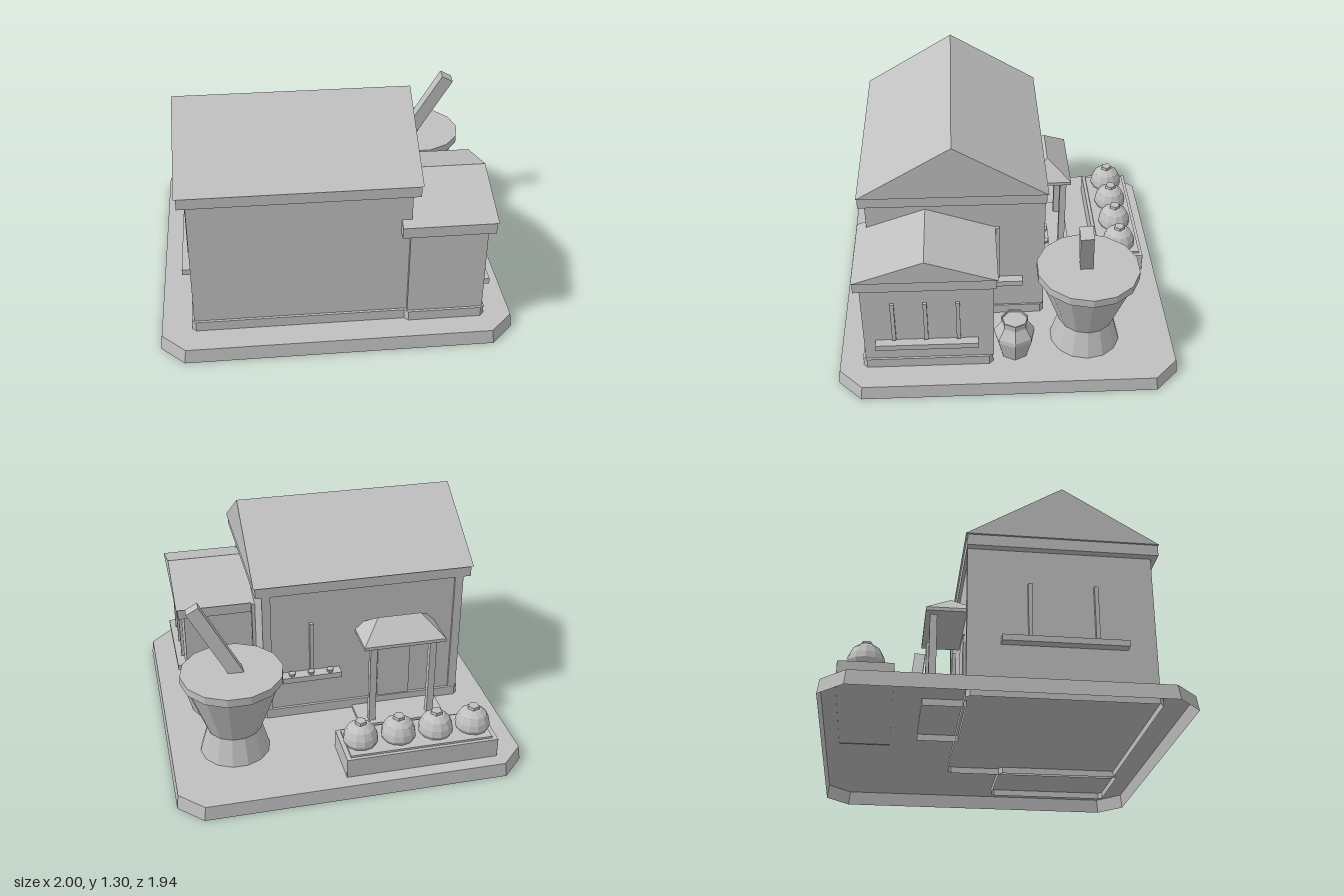
import * as THREE from 'three';

const stone = new THREE.MeshStandardMaterial({ color: 0xc0c0c0, side: THREE.DoubleSide });
stone.name = 'stone grey';

export function createModel() {
  const model = new THREE.Group();
  model.name = 'courtyardHouse';

  // Adds a faceted mesh
  const add = (name, geometry, parent = model) => {
    const flat = geometry.index ? geometry.toNonIndexed() : geometry;
    flat.computeVertexNormals();
    const mesh = new THREE.Mesh(flat, stone);
    mesh.name = name;
    parent.add(mesh);
    return mesh;
  };
  // Box given by its limits on each axis
  const box = (name, x0, x1, y0, y1, z0, z1, parent) => {
    const g = new THREE.BoxGeometry(x1 - x0, y1 - y0, z1 - z0);
    g.translate((x0 + x1) / 2, (y0 + y1) / 2, (z0 + z1) / 2);
    return add(name, g, parent);
  };
  // Slab with cut corners and an open underside, its top scaled by taper
  const openSlab = (name, x0, x1, y0, y1, z0, z1, cut, taper, parent) => {
    const outline = [
      [x0 + cut, z0], [x1 - cut, z0], [x1, z0 + cut], [x1, z1 - cut],
      [x1 - cut, z1], [x0 + cut, z1], [x0, z1 - cut], [x0, z0 + cut],
    ].map(([x, z]) => new THREE.Vector2(x, -z));
    const solid = new THREE.ExtrudeGeometry(new THREE.Shape(outline), { depth: y1 - y0, bevelEnabled: false });
    solid.rotateX(-Math.PI / 2);
    const p = solid.attributes.position;
    const corners = [];
    for (let i = 0; i < p.count; i += 3) {
      const ids = [i, i + 1, i + 2];
      if (ids.every((j) => p.getY(j) < 0.001)) continue;
      for (const j of ids) {
        const k = p.getY(j) < 0.001 ? 1 : taper;
        corners.push(p.getX(j) * k, p.getY(j) + y0, p.getZ(j) * k);
      }
    }
    const g = new THREE.BufferGeometry();
    g.setAttribute('position', new THREE.Float32BufferAttribute(corners, 3));
    return add(name, g, parent);
  };
  // Gabled roof with its ridge along x
  const gable = (name, x0, x1, y0, y1, z0, z1, parent) => {
    const s = new THREE.Shape([
      new THREE.Vector2(-z1, y0), new THREE.Vector2(-z0, y0), new THREE.Vector2(-(z0 + z1) / 2, y1),
    ]);
    const g = new THREE.ExtrudeGeometry(s, { depth: x1 - x0, bevelEnabled: false });
    g.rotateY(Math.PI / 2).translate(x0, 0, 0);
    return add(name, g, parent);
  };
  // Turned part with a corner pointing along +x
  const lathe = (name, profile, sides, x, z, parent) => {
    const points = profile.map(([r, y]) => new THREE.Vector2(r, y));
    const g = new THREE.LatheGeometry(points, sides);
    g.rotateY(Math.PI / 2);
    const mesh = add(name, g, parent);
    mesh.position.set(x, 0, z);
    return mesh;
  };
  const group = (name) => {
    const g = new THREE.Group();
    g.name = name;
    model.add(g);
    return g;
  };

  // Hollow ground slab; the plinths reach a little way through it
  const slabTop = 0.083, footing = 0.045;
  openSlab('groundSlab', -1, 1, 0, slabTop, -0.97, 0.97, 0.135, 0.99, model);

  // Main hall
  const hall = group('mainHall');
  openSlab('hallPlinth', -0.82, 0.41, footing, 0.142, -0.228, 0.803, 0.022, 1, hall);
  box('hallWalls', -0.807, 0.4, 0.142, 0.915, -0.212, 0.788, hall);
  box('hallEavesBand', -0.85, 0.437, 0.915, 0.98, -0.23, 0.822, hall);
  gable('hallRoof', -0.861, 0.447, 0.98, 1.302, -0.24, 0.827, hall);
  for (const x of [-0.807, 0.35]) box('hallBackPost', x, x + 0.05, 0.142, 0.915, -0.226, -0.212, hall);

  // Side room
  const room = group('sideRoom');
  openSlab('roomPlinth', 0.377, 0.835, footing, 0.142, 0.088, 0.825, 0.022, 1, room);
  box('roomWalls', 0.392, 0.822, 0.142, 0.665, 0.083, 0.81, room);
  box('roomEavesBand', 0.343, 0.857, 0.665, 0.732, 0.07, 0.84, room);
  gable('roomRoof', 0.343, 0.867, 0.732, 0.87, 0.058, 0.845, room);

  // Barred windows with ledges on the side walls
  const sideWindow = (wall, side, z0, z1, bars, ledgeY, barY0, barY1) => {
    const w = group('barredWindow');
    const xs = (depth) => [wall - 0.01 * side, wall + depth * side].sort((a, b) => a - b);
    box('windowLedge', ...xs(0.052), ledgeY, ledgeY + 0.035, z0, z1, w);
    for (const z of bars) box('windowBar', ...xs(0.02), barY0, barY1, z - 0.011, z + 0.011, w);
  };
  sideWindow(0.82, 1, 0.17, 0.745, [0.28, 0.46, 0.64], 0.247, 0.29, 0.553);
  sideWindow(-0.81, -1, -0.045, 0.63, [0.11, 0.47], 0.348, 0.395, 0.71);
  sideWindow(0.4, 1, -0.1, 0.19, [0.045], 0.328, 0.37, 0.735);

  // Back window: shelf with three small cups
  const back = group('backWindow');
  box('backShelf', -0.062, 0.295, 0.35, 0.385, -0.28, -0.21, back);
  box('backWindowBar', 0.1, 0.122, 0.4, 0.71, -0.235, -0.21, back);
  for (const x of [0.005, 0.12, 0.235]) {
    lathe('shelfCup', [[0, 0.385], [0.017, 0.385], [0.022, 0.405], [0, 0.405]], 6, x, -0.255, back);
  }

  // Back porch: step, door, posts and hipped roof
  const porch = group('backPorch');
  openSlab('porchStep', -0.665, -0.14, footing, 0.1, -0.443, -0.21, 0.001, 1, porch);
  box('door', -0.5, -0.3, 0.1, 0.55, -0.22, -0.212, porch);
  for (const x of [-0.58, -0.22]) {
    box('porchPost', x - 0.02, x + 0.02, 0.1, 0.625, -0.41, -0.37, porch);
  }
  box('porchEaves', -0.648, -0.157, 0.61, 0.63, -0.434, -0.21, porch);
  const hip = new THREE.BoxGeometry(0.491, 0.11, 0.284);
  const hp = hip.attributes.position;
  for (let i = 0; i < hp.count; i++) {
    if (hp.getY(i) > 0) hp.setXYZ(i, Math.sign(hp.getX(i)) * 0.13, hp.getY(i), 0);
  }
  hip.translate(-0.4025, 0.685, -0.292);
  add('porchRoof', hip, porch);

  // Large mortar with a leaning square pestle
  const mortar = group('mortar');
  lathe('mortarBowl', [[0.202, slabTop], [0.158, 0.24], [0.274, 0.553], [0.292, 0.555], [0.292, 0.603], [0, 0.603]],
    14, 0.617, -0.455, mortar);
  const foot = new THREE.Vector3(0.54, 0.5, -0.457);
  const tip = new THREE.Vector3(0.812, 0.995, -0.407);
  const pestle = add('pestle', new THREE.BoxGeometry(0.078, foot.distanceTo(tip), 0.073), mortar);
  pestle.position.copy(foot).lerp(tip, 0.5);
  pestle.quaternion.setFromUnitVectors(new THREE.Vector3(0, 1, 0), tip.clone().sub(foot).normalize());

  // Water pot filled almost to the rim
  lathe('waterPot', [[0.083, slabTop], [0.118, 0.21], [0.116, 0.235], [0.077, 0.295], [0.079, 0.333],
    [0.072, 0.333], [0.072, 0.32], [0, 0.32]], 7, 0.732, -0.038);

  // Row of domed jars on a stand
  const stand = group('jarStand');
  openSlab('standBase', -0.833, 0.053, slabTop - 0.003, 0.2, -0.882, -0.592, 0.001, 1, stand);
  box('standTop', -0.803, 0.027, 0.2, 0.212, -0.862, -0.612, stand);
  for (const x of [-0.724, -0.502, -0.28, -0.058]) {
    lathe('domedJar', [[0, 0.21], [0.09, 0.21], [0.102, 0.235], [0.096, 0.27], [0.077, 0.31], [0.045, 0.335], [0, 0.343]],
      12, x, -0.74, stand);
    lathe('jarKnob', [[0.036, 0.325], [0.033, 0.355], [0, 0.355]], 5, x, -0.74, stand);
  }

  return model;
}
